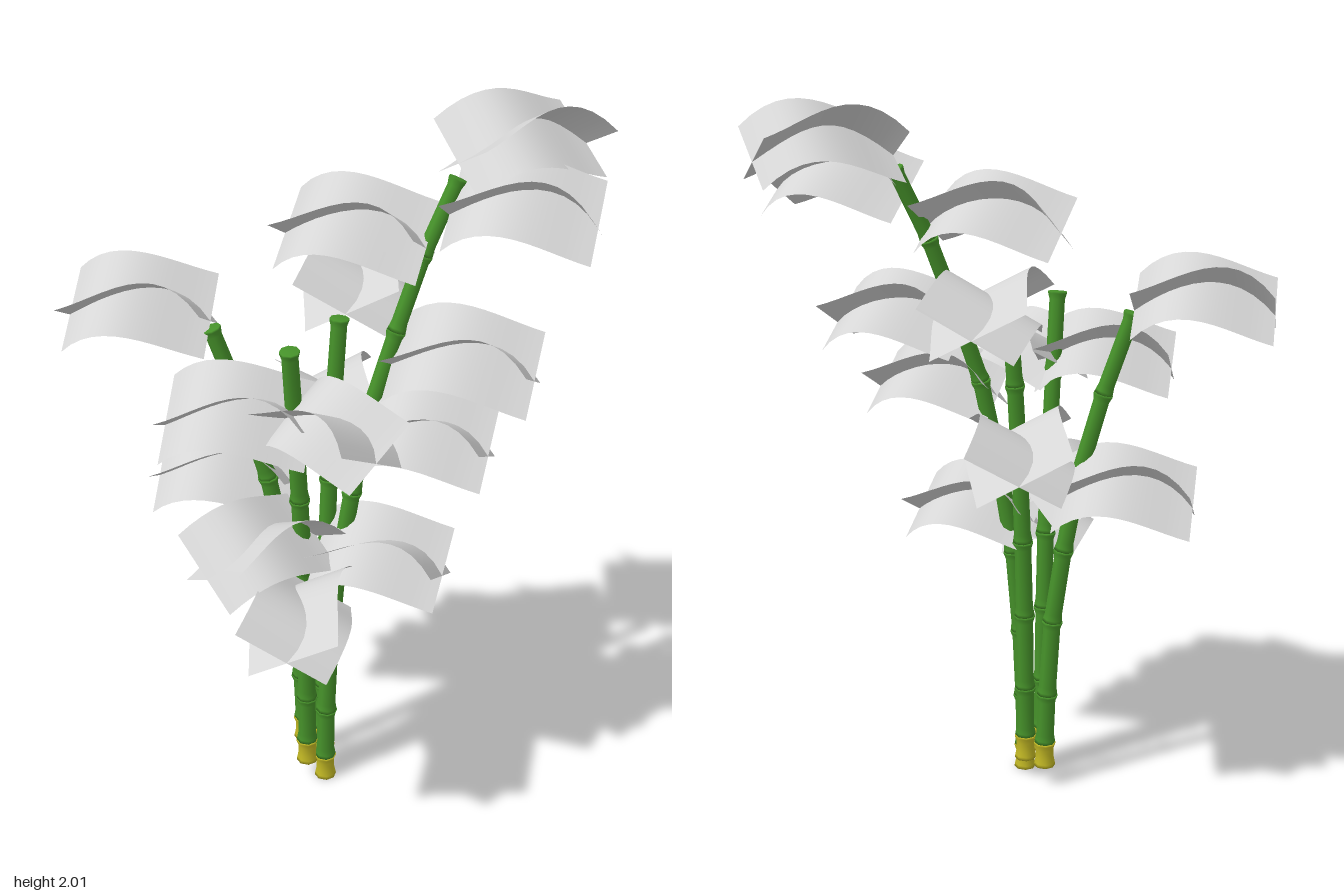
import * as THREE from 'three';
import { mergeGeometries } from 'three/addons/utils/BufferGeometryUtils.js';

const mat = (name, color, side = THREE.FrontSide) => {
  const m = new THREE.MeshStandardMaterial({ color, side });
  m.name = name;
  return m;
};

// One cane segment: slim body with a flared joint at each end
function segment(a, b, r, material, name) {
  const len = a.distanceTo(b);
  const profile = [
    [0, 0], [r * 1.18, 0], [r * 1.12, 0.01], [r, 0.026],
    [r * 0.97, len - 0.022], [r * 1.18, len - 0.006], [r * 1.18, len], [0, len],
  ].map(([x, y]) => new THREE.Vector2(x, y));
  const mesh = new THREE.Mesh(new THREE.LatheGeometry(profile, 8), material);
  mesh.position.copy(a);
  mesh.quaternion.setFromUnitVectors(new THREE.Vector3(0, 1, 0), b.clone().sub(a).normalize());
  mesh.name = name;
  return mesh;
}

// Leaf spray: an arched, tilted sheet crossed with its own half-turn copy
function leafGeometry() {
  const sheet = new THREE.PlaneGeometry(0.38, 0.285, 12, 1).rotateX(-Math.PI / 2);
  const p = sheet.attributes.position;
  for (let i = 0; i < p.count; i++) {
    const u = p.getX(i) / 0.19;
    p.setY(i, 0.04 - 0.075 * u * u - 0.045 * (u - u ** 3));
  }
  sheet.computeVertexNormals();
  sheet.rotateX(0.49);
  return mergeGeometries([sheet, sheet.clone().rotateY(Math.PI)]);
}

export function createModel() {
  const green = mat('cane green', 0x46922a);
  const yellow = mat('root yellow', 0xc2b824);
  const grey = mat('leaf grey', 0xd6d6d6, THREE.DoubleSide);
  const model = new THREE.Group();
  model.name = 'bamboo';

  // Canes: joints from root to tip
  const canes = {
    leftLeaningCane: [[-0.06, 0.06, 0.10], [-0.06, 0.135, 0.10], [-0.065, 0.29, 0.103], [-0.075, 0.52, 0.112],
      [-0.10, 0.74, 0.13], [-0.13, 0.97, 0.16], [-0.175, 1.2, 0.205], [-0.235, 1.43, 0.255]],
    frontCane: [[0.015, 0.06, 0.18], [0.015, 0.135, 0.18], [0.016, 0.29, 0.18], [0.018, 0.52, 0.185],
      [0.022, 0.75, 0.195], [0.028, 0.98, 0.215], [0.036, 1.22, 0.24], [0.045, 1.45, 0.268]],
    tallCane: [[0.055, 0, 0.145], [0.055, 0.075, 0.145], [0.057, 0.24, 0.141], [0.063, 0.45, 0.132],
      [0.075, 0.7, 0.113], [0.103, 0.97, 0.08], [0.13, 1.22, 0.035], [0.163, 1.43, -0.03],
      [0.195, 1.63, -0.1], [0.238, 1.825, -0.185]],
    backCane: [[0.015, 0.06, 0.10], [0.015, 0.135, 0.10], [0.015, 0.29, 0.098], [0.015, 0.52, 0.094],
      [0.016, 0.75, 0.086], [0.018, 0.98, 0.073], [0.02, 1.22, 0.055], [0.022, 1.45, 0.032]],
  };
  for (const [name, joints] of Object.entries(canes)) {
    const cane = new THREE.Group();
    cane.name = name;
    const pts = joints.map((j) => new THREE.Vector3(...j));
    for (let i = 0; i < pts.length - 1; i++) {
      cane.add(segment(pts[i], pts[i + 1], 0.027 - 0.0007 * i,
        i ? green : yellow, i ? 'caneSegment' : 'caneRoot'));
    }
    model.add(cane);
  }

  // Leaf sprays: centre x, y, z, outward direction x, z, size
  const leaves = [
    // left-leaning cane
    [-0.41, 1.48, 0.34, -0.85, 0.52, 1],
    [-0.285, 0.95, 0.165, -0.85, 0.52, 1],
    // tall cane
    [0.04, 1.70, -0.01, -0.93, 0.37, 1],
    [0.425, 1.785, -0.205, 0.92, -0.39, 1],
    [0.32, 1.90, -0.36, 0.46, -0.89, 1],
    [0.355, 1.395, -0.06, 0.92, -0.38, 1],
    [0.30, 1.195, 0.04, 0.92, -0.38, 0.95],
    [0.21, 0.82, 0.10, 0.93, -0.36, 0.95],
    // back cane
    [-0.08, 1.485, -0.17, -0.49, -0.87, 1],
    [-0.14, 1.10, -0.11, -0.65, -0.76, 1],
    // front cane
    [-0.06, 1.27, 0.36, -0.85, 0.52, 1],
    [0.175, 1.27, 0.275, 0.99, 0.1, 0.88],
    [0.155, 0.75, 0.37, 0.46, 0.89, 0.95],
    [0.0, 0.885, 0.34, -0.25, 0.97, 0.95],
  ];
  const geometry = leafGeometry();
  for (const [x, y, z, dx, dz, size] of leaves) {
    const leaf = new THREE.Mesh(geometry, grey);
    leaf.name = 'leafSpray';
    leaf.position.set(x, y, z);
    leaf.rotation.y = Math.atan2(-dz, dx);
    leaf.scale.setScalar(size);
    model.add(leaf);
  }
  return model;
}
